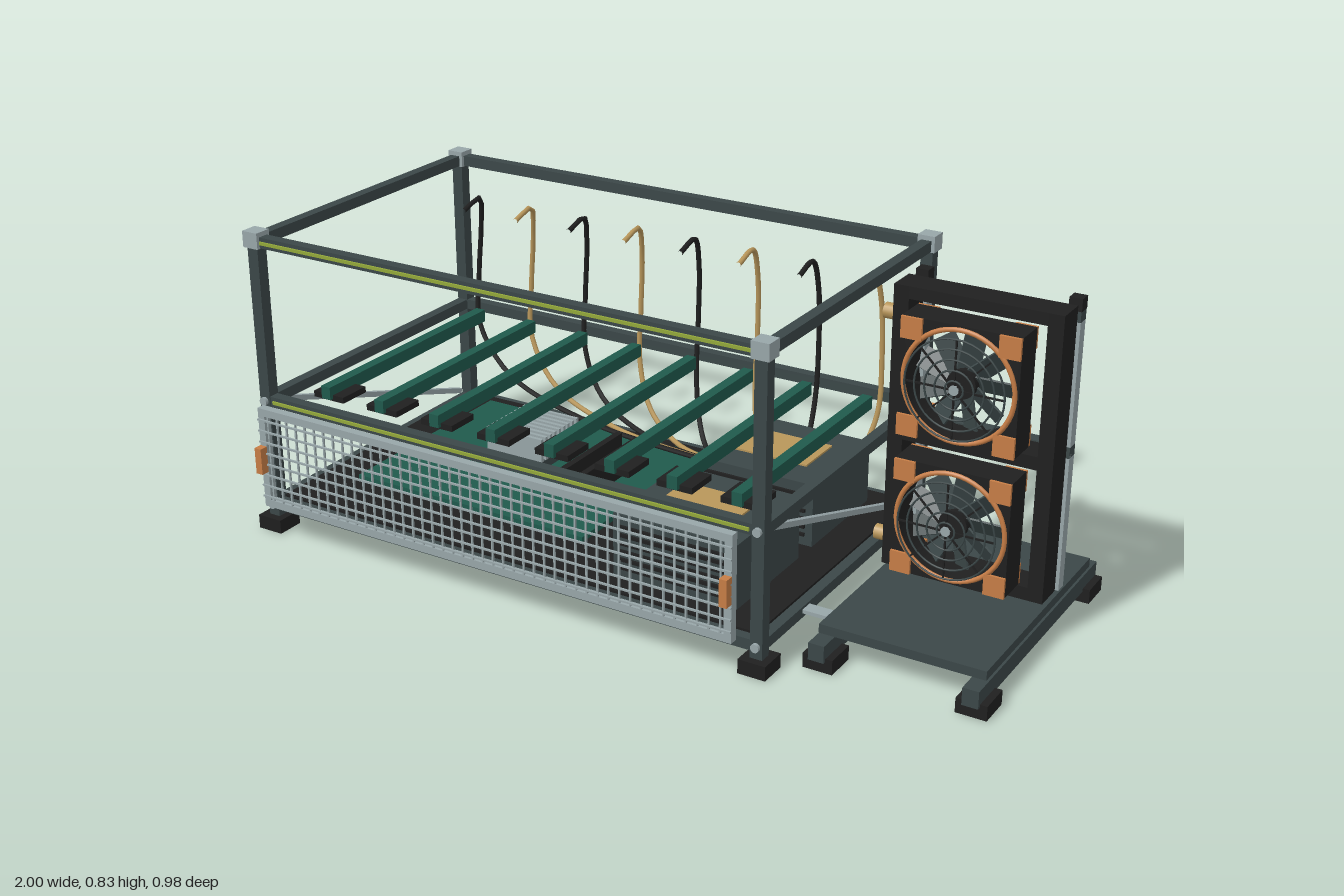
import * as THREE from 'three';

const mat = (name, color, side = THREE.FrontSide) => {
  const m = new THREE.MeshStandardMaterial({ color, side });
  m.name = name;
  return m;
};

export function createModel() {
  const root = new THREE.Group();
  root.name = 'openFrameComputerRig';
  const steel = mat('dark steel', 0x3b4748);
  const black = mat('matte black', 0x1f1f1f);
  const light = mat('light aluminium', 0x98a6a9);
  const green = mat('board green', 0x1f5a4c);
  const orange = mat('copper orange', 0xc67d46);
  const gold = mat('brass', 0xb8965a);
  const lime = mat('lime strip', 0x93a83a);

  const group = (name, parent = root) => {
    const g = new THREE.Group();
    g.name = name;
    parent.add(g);
    return g;
  };
  const add = (parent, name, geo, m, x = 0, y = 0, z = 0) => {
    const mesh = new THREE.Mesh(geo, m);
    mesh.name = name;
    mesh.position.set(x, y, z);
    parent.add(mesh);
    return mesh;
  };
  // Box given by its lower and upper limits on each axis
  const box = (parent, name, m, x0, x1, y0, y1, z0, z1) =>
    add(parent, name, new THREE.BoxGeometry(x1 - x0, y1 - y0, z1 - z0), m,
      (x0 + x1) / 2, (y0 + y1) / 2, (z0 + z1) / 2);

  // Main frame: posts, rails, corner caps and feet
  const frame = group('mainFrame');
  const X = [-0.966, 0.468], Z = [-0.453, 0.387], h = 0.016;
  for (const x of X) {
    for (const z of Z) {
      box(frame, 'post', steel, x - h, x + h, 0.035, 0.78, z - h, z + h);
      box(frame, 'cornerCap', light, x - 0.023, x + 0.023, 0.77, 0.812, z - 0.023, z + 0.023);
      box(frame, 'foot', black, x - 0.036, x + 0.036, 0, 0.037, z - 0.037, z + 0.037);
    }
  }
  for (const y of [0.068, 0.36, 0.786]) {
    const r = 0.014;
    for (const x of X) box(frame, 'sideRail', steel, x - r, x + r, y - r, y + r, Z[0], Z[1]);
    for (const z of Z) box(frame, 'longRail', steel, X[0], X[1], y - r, y + r, z - r, z + r);
  }
  for (const y of [0.36, 0.786]) box(frame, 'lightStrip', lime, -0.94, 0.445, y - 0.004, y + 0.004, 0.4, 0.406);
  for (const x of X) {
    for (const y of [0.068, 0.36]) {
      const bolt = add(frame, 'bolt', new THREE.CylinderGeometry(0.011, 0.011, 0.012, 12), light, x, y, 0.406);
      bolt.rotation.x = Math.PI / 2;
    }
    // Diagonal brace from front middle to back bottom
    const brace = add(frame, 'diagonalBrace', new THREE.BoxGeometry(0.014, 0.014, 0.8), light, x, 0.226, -0.025);
    brace.rotation.x = -Math.atan2(0.25, 0.76);
  }
  box(frame, 'tray', black, -0.952, 0.455, 0.076, 0.088, -0.44, 0.374);

  // Mainboard with cooler and memory
  const board = group('mainboard');
  box(board, 'circuitBoard', green, -0.83, -0.125, 0.098, 0.112, -0.37, 0.22);
  for (const x of [-0.8, -0.155]) for (const z of [-0.34, 0.19])
    box(board, 'standoff', light, x - 0.01, x + 0.01, 0.088, 0.098, z - 0.01, z + 0.01);
  box(board, 'coolerBase', steel, -0.608, -0.432, 0.112, 0.135, -0.227, -0.05);
  for (let i = 0; i < 9; i++) {
    const z = -0.222 + i * 0.0208;
    box(board, 'coolerFin', light, -0.608, -0.432, 0.135, 0.2, z - 0.005, z + 0.005);
  }
  for (const x of [-0.302, -0.241]) box(board, 'memoryStick', black, x - 0.009, x + 0.009, 0.112, 0.186, -0.227, 0.05);

  // Two power supplies with fan plates and louvres
  for (const [z0, z1, p0, p1] of [[0, 0.31, 0.083, 0.22], [-0.38, -0.07, -0.297, -0.157]]) {
    const psu = group('powerSupply');
    box(psu, 'casing', steel, 0.025, 0.362, 0.088, 0.256, z0, z1);
    box(psu, 'topPlate', gold, 0.088, 0.297, 0.256, 0.261, p0, p1);
    for (let i = 0; i < 6; i++) {
      const y = 0.118 + i * 0.0215;
      box(psu, 'louvre', black, 0.045, 0.342, y - 0.004, y + 0.004, z1, z1 + 0.007);
    }
  }

  // Card support bars, front clips and hooked cables
  const cards = group('cardSupports');
  const cables = group('cables');
  for (let i = 0; i < 8; i++) {
    const x = -0.853 + i * 0.1726;
    box(cards, 'supportBar', green, x - 0.014, x + 0.014, 0.352, 0.386, -0.37, 0.3);
    box(cards, 'clip', black, x - 0.048, x + 0.048, 0.346, 0.362, 0.2, 0.29);
    const b = (x - 0.18) * 0.045;
    const pts = [[x, 0.69, -0.31], [x, 0.708, -0.385], [x + b * 0.5, 0.63, -0.42],
      [x + b, 0.46, -0.431], [x + b * 0.9, 0.32, -0.42]];
    if (x < 0) pts.push([x * 0.91, 0.2, -0.388], [x * 0.58, 0.14, -0.34], [0.03, 0.15, -0.25]);
    else pts.push([0.18 + (x - 0.18) * 0.85, 0.18, -0.375]);
    const path = new THREE.CatmullRomCurve3(pts.map(p => new THREE.Vector3(...p)));
    add(cables, 'cable', new THREE.TubeGeometry(path, 40, 0.007, 7), i % 2 ? gold : black);
  }

  // Front mesh panel with two handles
  const panel = group('frontMeshPanel');
  const [px0, px1, py0, py1] = [-0.932, 0.44, 0.1, 0.372];
  for (const [a, b] of [[py0, py0 + 0.02], [py1 - 0.02, py1]]) box(panel, 'panelRail', light, px0, px1, a, b, 0.447, 0.469);
  for (const [a, b] of [[px0, px0 + 0.02], [px1 - 0.02, px1]]) {
    box(panel, 'panelStile', light, a, b, py0, py1, 0.447, 0.469);
    box(panel, 'handle', orange, a, b, 0.2, 0.27, 0.469, 0.492);
  }
  for (let i = 1; i < 46; i++) {
    const x = px0 + (i / 46) * (px1 - px0);
    box(panel, 'verticalWire', light, x - 0.0022, x + 0.0022, py0, py1, 0.464, 0.469);
  }
  for (let i = 1; i < 9; i++) {
    const y = py0 + (i / 9) * (py1 - py0);
    box(panel, 'horizontalWire', light, px0, px1, y - 0.0022, y + 0.0022, 0.469, 0.474);
  }

  // Cooling stand base with link bars
  const stand = group('coolingStand');
  for (const x of [0.583, 0.962]) {
    box(stand, 'baseRail', steel, x - 0.02, x + 0.02, 0.029, 0.073, -0.39, 0.33);
    for (const z of [-0.346, 0.279]) box(stand, 'foot', black, x - 0.038, x + 0.038, 0, 0.037, z - 0.042, z + 0.042);
  }
  box(stand, 'basePlate', steel, 0.562, 0.976, 0.073, 0.096, -0.355, 0.277);
  for (const z of [-0.261, 0.187]) box(stand, 'linkBar', light, 0.36, 0.7, 0.066, 0.0755, z - 0.018, z + 0.018);
  for (const x of [0.583, 0.957]) {
    box(stand, 'upright', light, x - 0.015, x + 0.015, 0.096, 0.8, -0.186, -0.156);
    box(stand, 'uprightCap', black, x - 0.016, x + 0.016, 0.797, 0.828, -0.187, -0.155);
  }
  for (const y of [0.452, 0.785]) box(stand, 'crossBar', steel, 0.568, 0.972, y - 0.014, y + 0.014, -0.187, -0.155);

  // Open radiator surround
  const radiator = group('radiator');
  const outer = [0.113, 0.824];
  for (const [a, b] of [[0.565, 0.603], [0.937, 0.975]]) box(radiator, 'sideTank', black, a, b, ...outer, -0.122, -0.043);
  for (const [a, b] of [[0.113, 0.146], [0.445, 0.478], [0.794, 0.824]])
    box(radiator, 'crossTank', black, 0.603, 0.937, a, b, -0.122, -0.043);
  for (const y of [0.17, 0.74]) {
    const port = add(radiator, 'port', new THREE.CylinderGeometry(0.019, 0.019, 0.04, 16), gold, 0.548, y, -0.085);
    port.rotation.z = Math.PI / 2;
  }

  // Fan housing: square with a round opening
  const sq = new THREE.Shape([[-1, -1], [1, -1], [1, 1], [-1, 1]].map(([a, b]) => new THREE.Vector2(a * 0.144, b * 0.144)));
  sq.holes.push(new THREE.Path().absarc(0, 0, 0.133, 0, Math.PI * 2, true));
  const housing = new THREE.ExtrudeGeometry(sq, { depth: 0.083, bevelEnabled: false, curveSegments: 32 });
  for (const y of [0.643, 0.294]) {
    const fan = group('fan');
    fan.position.set(0.77, y, 0);
    add(fan, 'housing', housing, black, 0, 0, -0.043);
    add(fan, 'frontRing', new THREE.TorusGeometry(0.135, 0.006, 8, 48), orange, 0, 0, 0.041);
    for (const sx of [-1, 1]) for (const sy of [-1, 1])
      for (const z of [0.043, -0.046]) add(fan, 'cornerPad', new THREE.BoxGeometry(0.052, 0.052, 0.008), orange, sx * 0.118, sy * 0.118, z);
    const hub = add(fan, 'hub', new THREE.CylinderGeometry(0.035, 0.035, 0.05, 24), black);
    hub.rotation.x = Math.PI / 2;
    for (let i = 0; i < 9; i++) {
      const arm = group('bladeArm', fan);
      arm.rotation.z = (i / 9) * Math.PI * 2;
      const blade = add(arm, 'blade', new THREE.BoxGeometry(0.085, 0.052, 0.005), steel, 0.072, 0, 0);
      blade.rotation.x = 0.6;
    }
    // Wire guard
    for (const r of [0.022, 0.047, 0.072, 0.097, 0.121])
      add(fan, 'guardRing', new THREE.TorusGeometry(r, 0.0025, 5, 40), steel, 0, 0, 0.064);
    for (let i = 0; i < 4; i++) {
      const spoke = add(fan, 'guardSpoke', new THREE.BoxGeometry(0.242, 0.004, 0.004), black, 0, 0, 0.063);
      spoke.rotation.z = (i * Math.PI) / 4;
    }
    const cap = add(fan, 'guardCentre', new THREE.CylinderGeometry(0.012, 0.012, 0.004, 16), light, 0, 0, 0.065);
    cap.rotation.x = Math.PI / 2;
  }
  return root;
}
